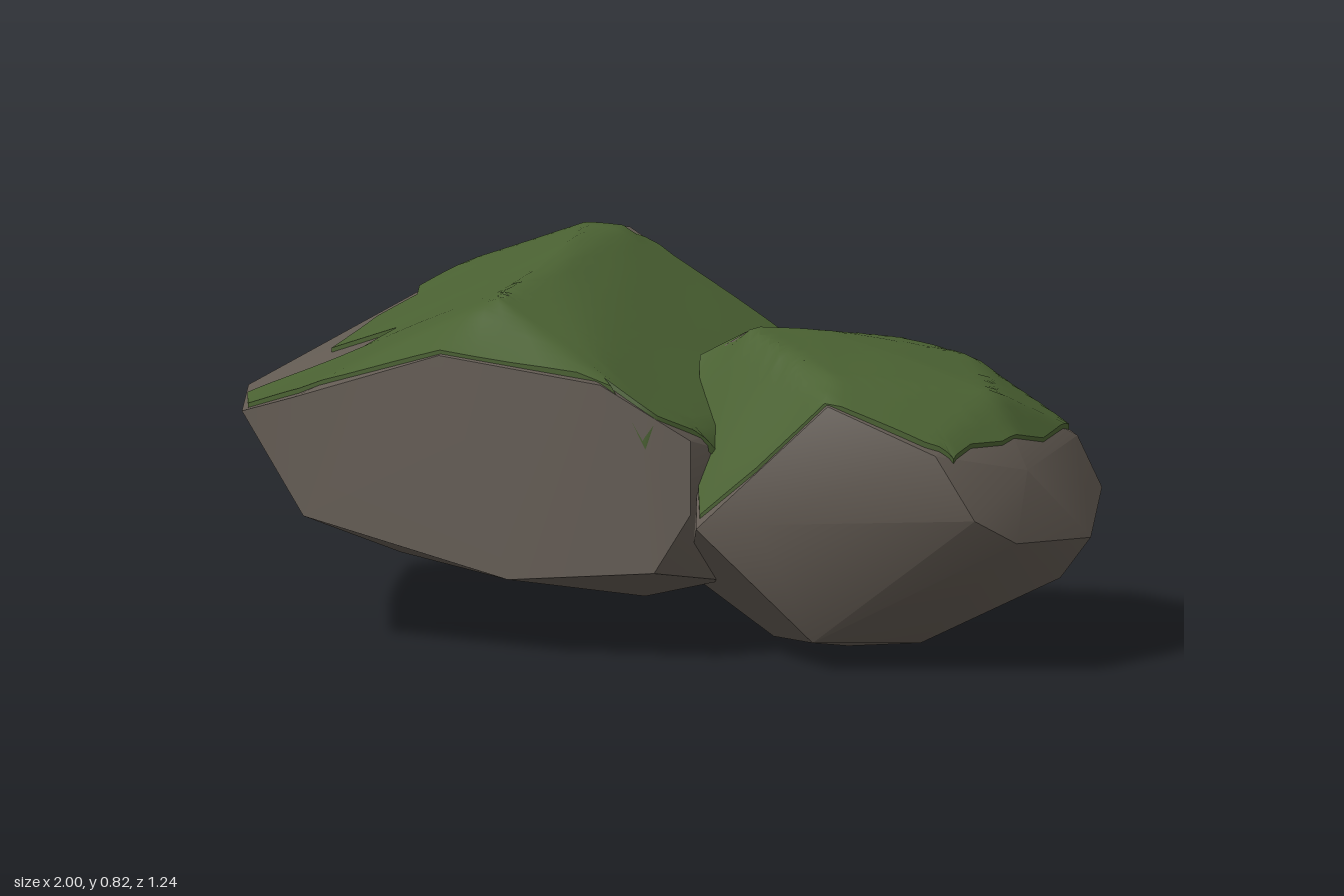
import * as THREE from 'three';
import { ConvexGeometry } from 'three/addons/geometries/ConvexGeometry.js';
import { toCreasedNormals } from 'three/addons/utils/BufferGeometryUtils.js';

const stone = new THREE.MeshStandardMaterial({ color: 0x625a52 });
const moss = new THREE.MeshStandardMaterial({ color: 0x4a6132, side: THREE.DoubleSide });

// Corner points of each boulder (x, y, z)
const largeCorners = [
  // front face
  [-0.88, 0.48, 0.5], [-0.71, 0.54, 0.6], [-0.37, 0.655, 0.58], [0, 0.61, 0.54], [0.19, 0.49, 0.48],
  [-0.68, 0.28, 0.615], [-0.2, 0.17, 0.59], [0.13, 0.2, 0.54], [0.2, 0.33, 0.5],
  // top ridge and shoulders
  [-0.4, 0.805, -0.28], [-0.3, 0.805, -0.28], [-0.34, 0.802, -0.08], [-0.28, 0.775, 0.13],
  [-0.31, 0.75, 0.4], [-0.7, 0.69, -0.34], [0.21, 0.47, -0.37],
  // left side
  [-1, 0.48, 0.2], [-0.97, 0.38, -0.17], [-0.965, 0.26, -0.15], [-0.93, 0.47, 0.37],
  [-0.82, 0.12, -0.12], [-0.71, 0.1, 0.03],
  // back and right side
  [-0.78, 0.29, -0.54], [-0.63, 0.22, -0.61], [-0.45, 0.19, -0.62], [-0.07, 0.19, -0.55],
  [0.22, 0.28, -0.42], [0.27, 0.38, -0.3], [0.25, 0.4, 0.2], [0.21, 0.16, -0.33],
  // underside
  [-0.7, 0.1, -0.2], [-0.27, 0.07, 0], [0, 0.1, -0.3], [0, 0.1, 0.3], [0.19, 0.15, 0.3],
];
const smallCorners = [
  // top
  [0.05, 0.6, 0.12], [0.18, 0.68, 0.15], [0.3, 0.67, 0.05], [0.5, 0.635, 0.4], [0.53, 0.595, 0.5],
  [0.8, 0.59, 0.2], [0.78, 0.5, 0.48], [0.4, 0.615, -0.18], [0.6, 0.605, -0.12],
  // shoulders
  [0.22, 0.5, -0.27], [0.53, 0.46, -0.34], [0.7, 0.45, -0.29], [0.9, 0.475, -0.01], [0.92, 0.45, 0.3],
  // widest girdle
  [0.24, 0.31, 0.56], [0.38, 0.33, 0.56], [0.87, 0.36, 0.47], [0.93, 0.3, 0.38], [1, 0.28, 0.14],
  [0.95, 0.36, -0.03], [0.83, 0.32, -0.17], [0.7, 0.35, -0.31], [0.52, 0.35, -0.36], [0.06, 0.35, 0.1],
  // underside
  [0.94, 0.19, 0.17], [0.89, 0.2, 0.07], [0.65, 0.04, 0.27], [0.43, 0, 0.17], [0.48, 0.06, 0.47],
  [0.3, 0.03, 0.28], [0.06, 0.14, 0.2], [0.45, 0.09, -0.13], [0.2, 0.2, -0.2],
];

// Moss outlines as seen from above (x, z), running left, front, right, back
const largeMoss = [
  [-0.7, -0.35], [-0.77, -0.2], [-0.73, -0.1], [-0.79, -0.02], [-0.8, 0.2], [-0.61, 0.27],
  [-0.66, 0.34], [-0.93, 0.36], [-0.87, 0.49], [-0.71, 0.575], [-0.37, 0.575], [0.1, 0.52],
  [0.22, 0.4], [0.26, 0], [0.26, -0.28], [0.2, -0.36], [-0.2, -0.29], [-0.4, -0.29],
];
const smallMoss = [
  [0.05, 0.12], [0.17, 0.4], [0.24, 0.54], [0.37, 0.53], [0.52, 0.495], [0.75, 0.47], [0.81, 0.45],
  [0.82, 0.38], [0.86, 0.3], [0.89, 0.15], [0.88, -0.01], [0.75, -0.21], [0.57, -0.325],
  [0.46, -0.34], [0.38, -0.325], [0.22, -0.265],
];

function boulderHull(corners) {
  return new ConvexGeometry(corners.map((c) => new THREE.Vector3(...c)));
}

// Height of a hull's upper surface: the lowest of its upward planes
function heightAbove(hull) {
  const p = hull.attributes.position;
  const planes = [];
  for (let i = 0; i < p.count; i += 3) {
    const [a, b, c] = [0, 1, 2].map((k) => new THREE.Vector3().fromBufferAttribute(p, i + k));
    const plane = new THREE.Plane().setFromCoplanarPoints(a, b, c);
    if (plane.normal.y > 0.12) planes.push(plane);
  }
  return (x, z) => Math.max(0.3, Math.min(...planes.map(
    ({ normal: n, constant }) => -(n.x * x + n.z * z + constant) / n.y)));
}

// Moss sheet: rings from a centre to the outline, draped on the stone, with a turned-down rim
function mossGeometry(outline, [cx, cz], height) {
  const rings = 16, steps = 6, lift = 0.01;
  const rim = outline.flatMap(([x, z], i) => {
    const [nx, nz] = outline[(i + 1) % outline.length];
    return Array.from({ length: steps }, (_, k) =>
      [x + (nx - x) * k / steps, z + (nz - z) * k / steps]);
  });
  const n = rim.length;
  const positions = [cx, height(cx, cz) + lift, cz];
  const index = [];
  for (let r = 1; r <= rings + 1; r++) {
    const t = Math.min(r / rings, 1);
    rim.forEach(([rx, rz], i) => {
      const x = cx + (rx - cx) * t, z = cz + (rz - cz) * t;
      const bump = 0.003 * Math.sin(13 * x + 4 * z) * Math.cos(11 * z - 3 * x);
      positions.push(x, height(x, z) + (r > rings ? -0.01 : lift + bump), z);
      const j = (i + 1) % n, outer = 1 + (r - 1) * n, inner = outer - n;
      if (r === 1) index.push(0, outer + i, outer + j);
      else index.push(inner + i, outer + i, outer + j, inner + i, outer + j, inner + j);
    });
  }
  const geometry = new THREE.BufferGeometry();
  geometry.setAttribute('position', new THREE.Float32BufferAttribute(positions, 3));
  geometry.setIndex(index);
  return toCreasedNormals(geometry, 0.7);
}

function mossyBoulder(name, corners, outline, centre) {
  const group = new THREE.Group();
  group.name = name;
  const hull = boulderHull(corners);
  const rock = new THREE.Mesh(toCreasedNormals(hull, 0.6), stone);
  rock.name = name + 'Stone';
  const cover = new THREE.Mesh(mossGeometry(outline, centre, heightAbove(hull)), moss);
  cover.name = name + 'Moss';
  group.add(rock, cover);
  return group;
}

export function createModel() {
  const model = new THREE.Group();
  model.name = 'mossyBoulders';
  model.add(
    mossyBoulder('largeBoulder', largeCorners, largeMoss, [-0.35, 0.33]),
    mossyBoulder('smallBoulder', smallCorners, smallMoss, [0.45, 0.15]),
  );
  return model;
}
